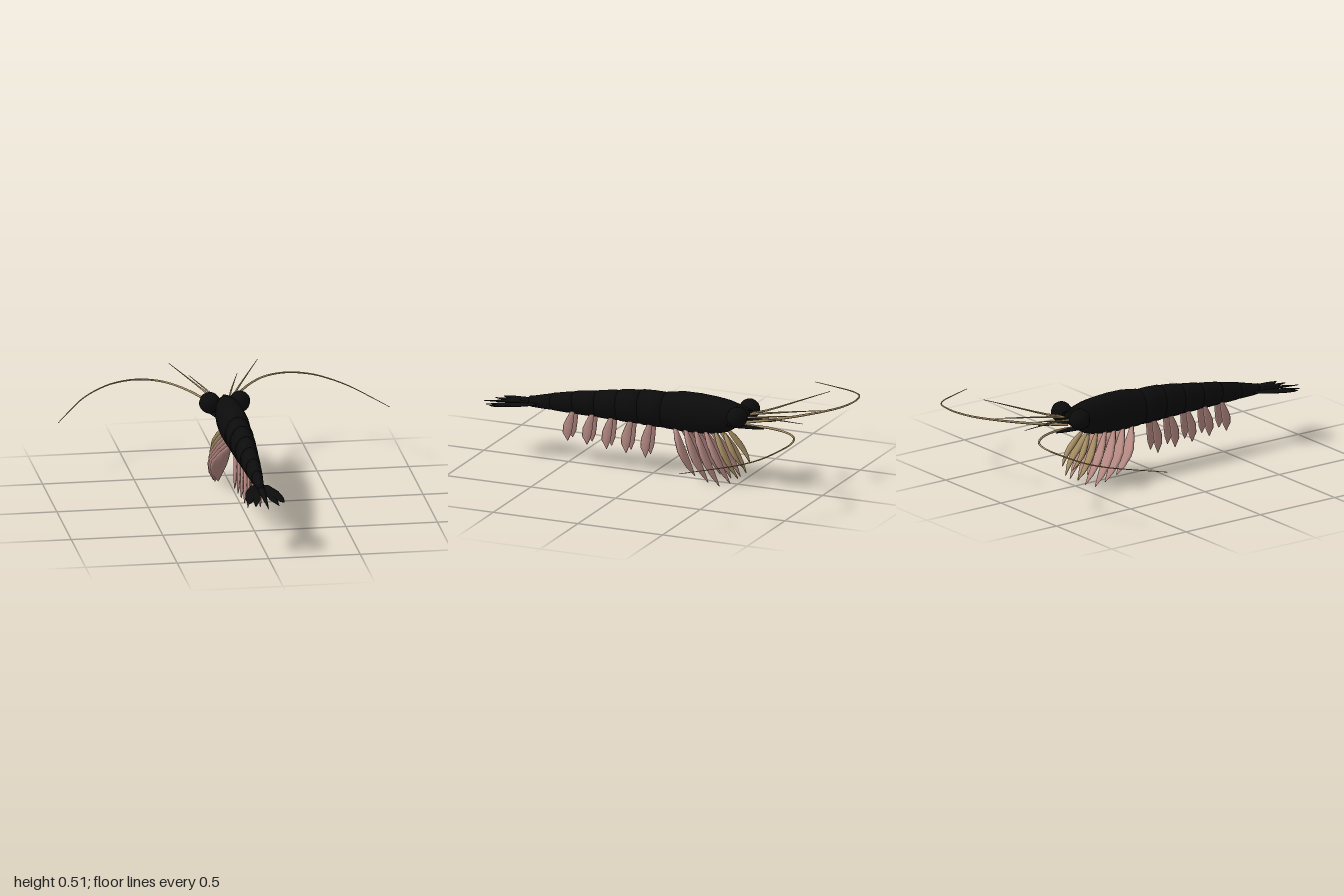
import * as THREE from 'three';

const V = (x, y, z) => new THREE.Vector3(x, y, z);
const shell = new THREE.MeshStandardMaterial({ color: 0x0c0c0c });
shell.name = 'black shell';
const pink = new THREE.MeshStandardMaterial({ color: 0xb78b84 });
pink.name = 'dusty pink';
const tan = new THREE.MeshStandardMaterial({ color: 0xa68e64 });
tan.name = 'tan';

// Closed skin over elliptical sections { p: centre, u, v: half axes }
function loft(sections, sides) {
  const pos = [], idx = [], n = sections.length;
  const dir = sections[n - 1].p.clone().sub(sections[0].p);
  const mid = sections[n >> 1];
  const flip = mid.u.clone().cross(mid.v).dot(dir) < 0;
  for (const { p, u, v } of sections) {
    for (let j = 0; j < sides; j++) {
      const a = (j / sides) * Math.PI * 2 * (flip ? -1 : 1);
      const q = p.clone().addScaledVector(u, Math.cos(a)).addScaledVector(v, Math.sin(a));
      pos.push(q.x, q.y, q.z);
    }
  }
  for (let i = 0; i < n - 1; i++) {
    for (let j = 0; j < sides; j++) {
      const k = (j + 1) % sides, a = i * sides, b = a + sides;
      idx.push(a + j, a + k, b + k, a + j, b + k, b + j);
    }
  }
  const first = n * sides, last = first + 1, end = (n - 1) * sides;
  for (const s of [sections[0], sections[n - 1]]) pos.push(s.p.x, s.p.y, s.p.z);
  for (let j = 0; j < sides; j++) {
    const k = (j + 1) % sides;
    idx.push(first, k, j, last, end + j, end + k);
  }
  const g = new THREE.BufferGeometry();
  g.setAttribute('position', new THREE.Float32BufferAttribute(pos, 3));
  g.setIndex(idx);
  g.computeVertexNormals();
  return g;
}

function add(parent, name, geometry, material) {
  const m = new THREE.Mesh(geometry, material);
  m.name = name;
  parent.add(m);
  return m;
}

// Tapered round feeler along a smooth path
function feeler(points, r0, r1, steps) {
  const curve = new THREE.CatmullRomCurve3(points.map((p) => V(...p)));
  const f = curve.computeFrenetFrames(steps);
  const sections = [];
  for (let i = 0; i <= steps; i++) {
    const r = r0 + (r1 - r0) * (i / steps);
    sections.push({
      p: curve.getPointAt(i / steps),
      u: f.normals[i].clone().multiplyScalar(r),
      v: f.binormals[i].clone().multiplyScalar(r),
    });
  }
  // a curving path may double back, so orient by the local tangent
  const g = loft(sections, 6);
  const c = sections[steps >> 1];
  const dir = sections[steps].p.clone().sub(sections[0].p);
  const axis = c.u.clone().cross(c.v);
  if ((axis.dot(dir) < 0) !== (axis.dot(f.tangents[steps >> 1]) < 0)) {
    g.setIndex(Array.from(g.index.array).reverse());
    g.computeVertexNormals();
  }
  return g;
}

// Flat plate along z; rows are [centre x, y, z, half width]
const plate = (rows, thick) => loft(rows.map(([x, y, z, w]) => (
  { p: V(x, y, z), u: V(w, 0, 0), v: V(0, Math.min(thick, w), 0) })), 8);

// Body ring from [z, bottom, top, half width]
const ring = ([z, lo, hi, w], s = 1) => (
  { p: V(0, (lo + hi) / 2, z), u: V(w * s, 0, 0), v: V(0, ((hi - lo) / 2) * s, 0) });

export function createModel() {
  const model = new THREE.Group();
  model.name = 'shrimp';

  // Carapace and rostrum
  add(model, 'carapace', loft([
    [-0.565, 0.385, 0.425, 0.012], [-0.54, 0.355, 0.44, 0.03], [-0.5, 0.325, 0.455, 0.05],
    [-0.45, 0.292, 0.468, 0.066], [-0.38, 0.272, 0.477, 0.075], [-0.28, 0.262, 0.484, 0.079],
    [-0.18, 0.26, 0.483, 0.08], [-0.08, 0.265, 0.468, 0.075], [-0.05, 0.275, 0.455, 0.068],
  ].map((r) => ring(r)), 14), shell);
  add(model, 'rostrum', loft([
    ring([-0.42, 0.44, 0.476, 0.02]), ring([-0.52, 0.425, 0.452, 0.013]),
    ring([-0.587, 0.425, 0.43, 0.002]),
  ], 8), shell);

  // Abdomen: overlapping segments that narrow to the tail
  const outline = [[-0.08, 0.265, 0.468, 0.075], [0.06, 0.268, 0.463, 0.069],
    [0.19, 0.272, 0.446, 0.062], [0.32, 0.275, 0.425, 0.053], [0.45, 0.277, 0.405, 0.044],
    [0.58, 0.28, 0.378, 0.034], [0.71, 0.283, 0.345, 0.02]];
  for (let i = 0; i < outline.length - 1; i++) {
    const a = outline[i], b = outline[i + 1];
    const mid = a.map((v, k) => (v + b[k]) / 2);
    const end = b.map((v, k) => (k === 0 ? v + 0.02 : v));
    add(model, 'abdomenSegment', loft(
      [ring(a, 0.97), ring(mid, 1.01), ring(b, 1.01), ring(end, 0.93)], 14), shell);
  }
  add(model, 'telson', plate([[0, 0.313, 0.68, 0.02], [0, 0.303, 0.8, 0.018],
    [0, 0.292, 0.9, 0.01], [0, 0.281, 1, 0.0015]], 0.007), shell);

  // One side, then its mirror image
  for (const side of [1, -1]) {
    const half = new THREE.Group();
    half.name = side > 0 ? 'leftSide' : 'rightSide';
    half.scale.x = side;
    model.add(half);

    // Eye on a short stalk
    const eye = add(half, 'eye', new THREE.SphereGeometry(0.058, 12, 9), shell);
    eye.position.set(0.082, 0.405, -0.532);
    add(half, 'eyeStalk', loft([
      { p: V(0.01, 0.4, -0.5), u: V(0, 0.025, 0), v: V(0, 0, 0.025) },
      { p: V(0.07, 0.405, -0.53), u: V(0, 0.03, 0), v: V(0, 0, 0.03) }], 8), shell);

    // Antennal scale
    add(half, 'antennalScale', plate([[0.045, 0.345, -0.46, 0.02], [0.065, 0.35, -0.54, 0.03],
      [0.071, 0.355, -0.61, 0.025], [0.075, 0.357, -0.655, 0.016],
      [0.08, 0.358, -0.69, 0.002]], 0.006), shell);

    // Long sweeping antenna and two short antennules
    add(half, 'antenna', feeler([[0.03, 0.345, -0.53], [0.055, 0.36, -0.63], [0.1, 0.375, -0.735],
      [0.2, 0.395, -0.88], [0.3, 0.405, -0.965], [0.42, 0.407, -0.996], [0.55, 0.397, -0.972],
      [0.65, 0.378, -0.918], [0.73, 0.362, -0.84], [0.82, 0.343, -0.7],
      [0.905, 0.325, -0.555]], 0.008, 0.0018, 36), tan);
    add(half, 'upperAntennule', feeler([[0.03, 0.39, -0.53], [0.07, 0.415, -0.64],
      [0.15, 0.46, -0.78], [0.243, 0.51, -0.935]], 0.007, 0.0015, 8), tan);
    add(half, 'lowerAntennule', feeler([[0.025, 0.39, -0.53], [0.05, 0.408, -0.66],
      [0.09, 0.422, -0.8], [0.132, 0.434, -0.94]], 0.007, 0.0015, 8), tan);

    // Tail fan
    add(half, 'outerTailFan', plate([[0.035, 0.31, 0.68, 0.018], [0.06, 0.303, 0.76, 0.029],
      [0.077, 0.295, 0.85, 0.028], [0.088, 0.291, 0.9, 0.014],
      [0.096, 0.29, 0.925, 0.002]], 0.006), shell);
    add(half, 'innerTailFan', plate([[0.02, 0.308, 0.68, 0.015], [0.032, 0.3, 0.78, 0.023],
      [0.047, 0.291, 0.88, 0.02], [0.063, 0.285, 0.96, 0.002]], 0.006), shell);

    // Leaf-shaped walking legs: [base z, tip x, tip y, tip z, widest x]
    [[-0.14, 0.075, 0.04, -0.28, 0.13], [-0.2, 0.08, 0.015, -0.36, 0.128],
      [-0.26, 0.078, 0.001, -0.425, 0.122], [-0.32, 0.068, 0.02, -0.485, 0.108],
      [-0.38, 0.055, 0.05, -0.525, 0.095], [-0.435, 0.045, 0.11, -0.553, 0.08],
    ].forEach(([bz, tx, ty, tz, mx], i) => {
      const base = V(0.03, 0.285, bz), tip = V(tx, ty, tz);
      const across = V(0, base.z - tip.z, tip.y - base.y).normalize();
      const rows = [[0, 0.022, 0.038, 0.01], [0.2, 0.026, 0.038 + (mx - 0.038) * 0.55, 0.014],
        [0.42, 0.032, mx * 0.96, 0.014], [0.58, 0.04, mx, 0.012],
        [0.8, 0.03 + tx * 0.35, tx + (mx - tx) * 0.72, 0.008], [1, tx - 0.002, tx + 0.002, 0.002]];
      add(half, 'walkingLeg', loft(rows.map(([t, inner, outer, th]) => {
        const p = base.clone().lerp(tip, t);
        p.x = (inner + outer) / 2;
        return { p, u: V((outer - inner) / 2, 0, 0), v: across.clone().multiplyScalar(th) };
      }), 8), i < 4 ? pink : tan);
    });

    // Swimming paddles under the abdomen
    for (let i = 0; i < 5; i++) {
      const z = 0.465 - i * 0.115, tipY = 0.13 - i * 0.009;
      const rows = [[0, 0, 0.012], [0.25, 0.014, 0.022], [0.5, 0.026, 0.029],
        [0.75, 0.03, 0.026], [1, 0.026, 0.002]];
      add(half, 'swimmingPaddle', loft(rows.map(([t, dz, w]) => ({
        p: V(0.026 + t * 0.008, 0.295 + (tipY - 0.295) * t, z + dz),
        u: V(0, 0, w), v: V(Math.min(0.009, w), 0, 0),
      })), 8), pink);
    }
  }
  return model;
}
